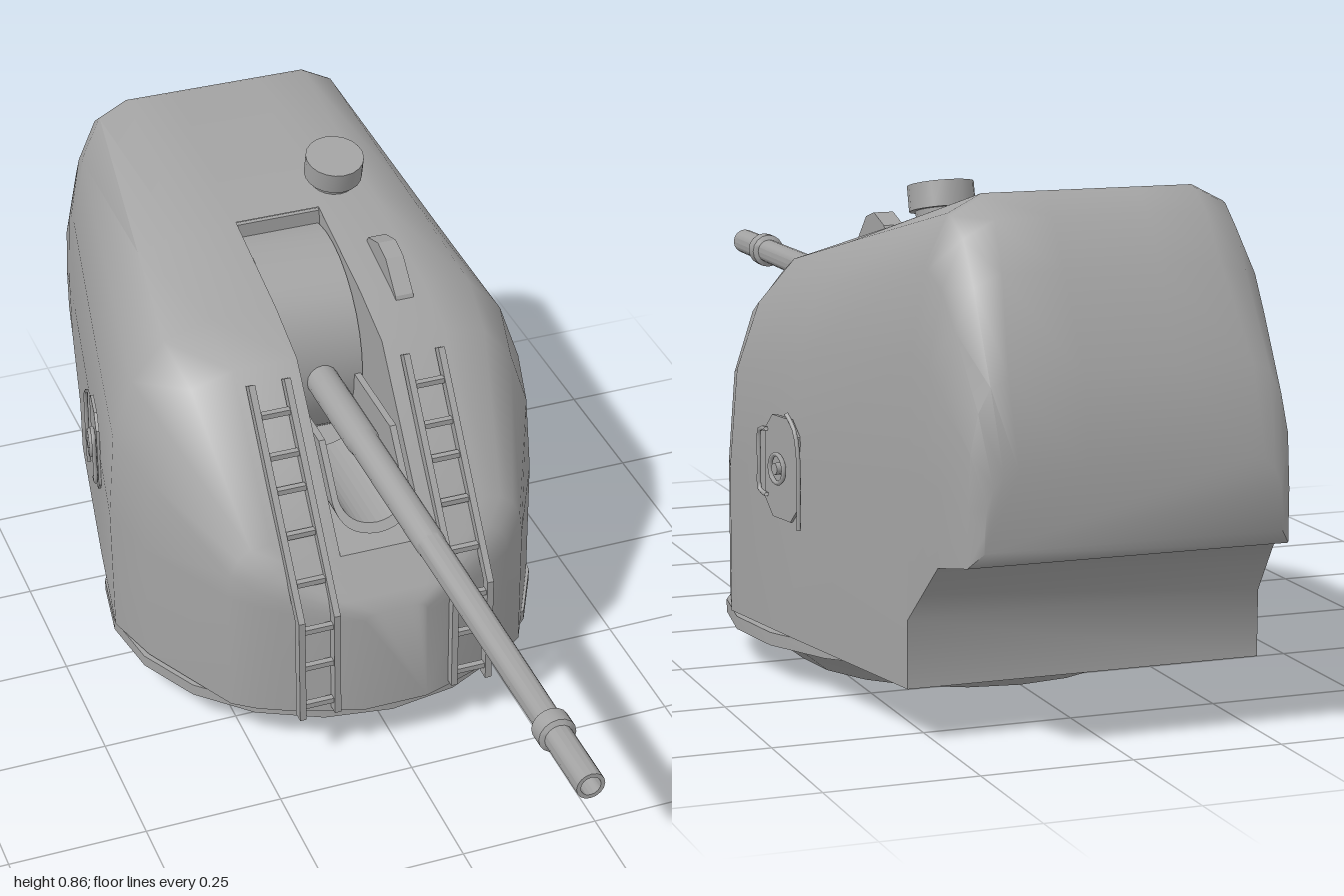
import * as THREE from 'three';
import { toCreasedNormals } from 'three/addons/utils/BufferGeometryUtils.js';

const grey = new THREE.MeshStandardMaterial({ color: 0xa2a2a2, side: THREE.DoubleSide });
grey.name = 'navalGrey';

function add(parent, name, geometry, x = 0, y = 0, z = 0) {
  const mesh = new THREE.Mesh(geometry, grey);
  mesh.name = name;
  mesh.position.set(x, y, z);
  parent.add(mesh);
  return mesh;
}

// Plate whose outline is given as [z, y] points, extruded along x and centred on x = 0
function sidePlate(points, width) {
  const shape = new THREE.Shape(points.map(([z, y]) => new THREE.Vector2(-z, y)));
  const geo = new THREE.ExtrudeGeometry(shape, { depth: width, bevelEnabled: false });
  return geo.translate(0, 0, -width / 2).rotateY(Math.PI / 2);
}

const SLOT = 0.08;

// Armoured shell, front to back: [z, base height, half width, waist height, roof half width, roof height]
const sections = [
  [0.17, 0.09, 0.06, 0.28, 0.04, 0.3],
  [0.15, 0.09, 0.12, 0.29, 0.09, 0.325],
  [0.12, 0.09, 0.2, 0.31, 0.14, 0.363],
  [0.1, 0.09, 0.24, 0.32, 0.17, 0.388],
  [0.07, 0.09, 0.28, 0.33, 0.2, 0.427],
  [-0.12, 0.09, 0.375, 0.33, 0.2, 0.67],
  [-0.23, 0.09, 0.406, 0.34, 0.2, 0.71],
  [-0.45, 0.09, 0.367, 0.39, 0.19, 0.765],
  [-0.8, 0.09, 0.3, 0.42, 0.175, 0.855],
  [-0.81, 0.09, 0.298, 0.42, 0.175, 0.852],
  [-0.81, 0.2, 0.298, 0.42, 0.175, 0.852],
  [-0.855, 0.25, 0.29, 0.42, 0.175, 0.82],
  [-0.9, 0.3, 0.282, 0.42, 0.18, 0.745],
  [-0.98, 0.315, 0.265, 0.4, 0.2, 0.6],
  [-1.0, 0.34, 0.245, 0.37, 0.19, 0.46],
];

// Straight side, rounded shoulder, then flat roof in to the slot edge, mirrored
function ring([z, base, width, waist, roof, top]) {
  const right = [[width, base, z]];
  for (let i = 0; i <= 4; i++) {
    const t = (i * Math.PI) / 8;
    const c = i === 4 ? 0 : Math.cos(t) ** 0.85;
    right.push([roof + (width - roof) * c, waist + (top - waist) * Math.sin(t) ** 0.85, z]);
  }
  right.push([Math.min(SLOT, roof * 0.7), top, z]);
  return [...right, ...right.map(([x, y]) => [-x, y, z]).reverse()];
}

function shellGeometry() {
  const rings = sections.map(ring);
  const pos = [];
  const tri = (a, b, c) => pos.push(...a, ...b, ...c);
  const n = rings[0].length;
  for (let i = 0; i < rings.length - 1; i++) {
    const slotted = sections[i][0] <= 0.1 && sections[i + 1][0] >= -0.45;
    for (let j = 0; j < n; j++) {
      if (slotted && j === n / 2 - 1) continue; // opening for the gun
      const k = (j + 1) % n;
      const [a, b, c, d] = [rings[i][j], rings[i][k], rings[i + 1][k], rings[i + 1][j]];
      tri(a, d, c);
      tri(a, c, b);
    }
  }
  const front = rings[0], back = rings[rings.length - 1];
  for (let j = 1; j < n - 1; j++) {
    tri(front[0], front[j], front[j + 1]);
    tri(back[0], back[j + 1], back[j]);
  }
  const geo = new THREE.BufferGeometry();
  geo.setAttribute('position', new THREE.Float32BufferAttribute(pos, 3));
  return toCreasedNormals(geo, 0.85);
}

// Gun slot lining, elevating drum and cradle
function addGunMount(root) {
  const mount = new THREE.Group();
  mount.name = 'gunMount';
  root.add(mount);
  const wall = [[0.1, 0.388], [0.07, 0.427], [-0.12, 0.67], [-0.23, 0.71], [-0.45, 0.765], [-0.45, 0.38], [0.1, 0.38]];
  for (const s of [-1, 1]) add(mount, 'slotWall', sidePlate(wall, 0.004), s * (SLOT + 0.002));
  add(mount, 'slotFloor', new THREE.BoxGeometry(0.16, 0.01, 0.55), 0, 0.383, -0.175);
  add(mount, 'slotBack', new THREE.BoxGeometry(0.16, 0.38, 0.01), 0, 0.57, -0.452);
  // Drum sits low enough to stay inside the slot at the rear
  const drum = new THREE.CylinderGeometry(0.19, 0.19, 0.154, 32).rotateZ(Math.PI / 2);
  add(mount, 'elevatingDrum', toCreasedNormals(drum, 0.6), 0, 0.55, -0.4);

  // U-shaped cradle, sheared to lie along the sloping front
  const u = new THREE.Shape();
  u.moveTo(-0.073, 0.55).lineTo(-0.073, 0.46);
  u.quadraticCurveTo(-0.068, 0.41, 0, 0.408).quadraticCurveTo(0.068, 0.41, 0.073, 0.46);
  u.lineTo(0.073, 0.55).lineTo(0.061, 0.55).lineTo(0.061, 0.465);
  u.quadraticCurveTo(0.055, 0.425, 0, 0.423).quadraticCurveTo(-0.055, 0.425, -0.061, 0.465);
  u.lineTo(-0.061, 0.55);
  const cradle = new THREE.ExtrudeGeometry(u, { depth: 0.26, bevelEnabled: false, curveSegments: 8 });
  const p = cradle.attributes.position;
  for (let i = 0; i < p.count; i++) p.setZ(i, p.getZ(i) - 0.18 - (p.getY(i) - 0.41) * 0.78);
  cradle.computeVertexNormals();
  add(mount, 'cradle', cradle);
}

// Hollow barrel with a muzzle collar
function addBarrel(root) {
  const profile = [[0.03, -0.25], [0.03, 0], [0.0275, 0.01], [0.0265, 0.33], [0.025, 0.335], [0.023, 0.835],
    [0.032, 0.84], [0.032, 0.87], [0.024, 0.875], [0.024, 1], [0.017, 1], [0.017, 0.85], [0, 0.85]];
  const geo = new THREE.LatheGeometry(profile.map(([r, z]) => new THREE.Vector2(r, z)), 16);
  add(root, 'gunBarrel', toCreasedNormals(geo.rotateX(Math.PI / 2), 0.6), 0, 0.55, 0);
}

// Ladder following the vertical and sloping front
function addLadder(root, side) {
  const ladder = new THREE.Group();
  ladder.name = 'ladder';
  ladder.position.x = side * 0.145;
  root.add(ladder);
  const rail = [[0.15, 0.1], [0.172, 0.1], [0.172, 0.315], [-0.08, 0.66], [-0.096, 0.65], [0.152, 0.308]];
  for (const s of [-1, 1]) add(ladder, 'ladderRail', sidePlate(rail, 0.012), s * 0.033);
  for (const y of [0.125, 0.21, 0.29, 0.365, 0.435, 0.5, 0.55, 0.61]) {
    const z = y < 0.31 ? 0.161 : 0.161 - (y - 0.31) * 0.715;
    add(ladder, 'ladderRung', new THREE.BoxGeometry(0.06, 0.01, 0.012), 0, y, z);
  }
}

// Side access hatch with handwheel and grab rails
function addHatch(root, side) {
  const hatch = new THREE.Group();
  hatch.name = 'sideHatch';
  hatch.position.set(side * 0.371, 0.37, -0.42);
  hatch.rotation.y = side * (Math.PI / 2 + 0.18);
  root.add(hatch);
  const w = 0.055, h = 0.085, c = 0.025;
  const outline = [[-w, -h + c], [-w + c, -h], [w - c, -h], [w, -h + c], [w, h - c], [w - c, h], [-w + c, h], [-w, h - c]];
  const shape = new THREE.Shape(outline.map(([x, y]) => new THREE.Vector2(x, y)));
  add(hatch, 'hatchDoor', new THREE.ExtrudeGeometry(shape, { depth: 0.006, bevelEnabled: false }));
  add(hatch, 'handwheel', new THREE.TorusGeometry(0.024, 0.004, 6, 16), 0, 0, 0.014);
  add(hatch, 'wheelHub', new THREE.CylinderGeometry(0.01, 0.01, 0.018, 10).rotateX(Math.PI / 2), 0, 0, 0.01);
  const tube = (pts) => new THREE.TubeGeometry(
    new THREE.CatmullRomCurve3(pts.map(([x, y]) => new THREE.Vector3(side * x, y, 0.012))), 12, 0.004, 6);
  add(hatch, 'rearGrabRail', tube([[0.03, 0.095], [0.055, 0.075], [0.068, 0.04], [0.07, -0.09]]));
  add(hatch, 'frontGrabRail', tube([[-0.04, 0.06], [-0.064, 0.055], [-0.066, 0], [-0.064, -0.045], [-0.04, -0.05]]));
}

export function createModel() {
  const root = new THREE.Group();
  root.name = 'gunTurret';

  add(root, 'turretShell', shellGeometry());

  // Turntable below the shell
  const base = [[0, 0], [0.285, 0], [0.35, 0.05], [0.403, 0.062], [0.403, 0.084], [0, 0.084]];
  const baseGeo = new THREE.LatheGeometry(base.map(([r, y]) => new THREE.Vector2(r, y)), 20);
  add(root, 'turntable', toCreasedNormals(baseGeo, 0.5), 0, 0, -0.25);

  addGunMount(root);
  addBarrel(root);
  for (const side of [-1, 1]) {
    addLadder(root, side);
    addHatch(root, side);
  }

  // Roof fittings
  const cap = new THREE.CylinderGeometry(0.054, 0.054, 0.042, 20);
  add(root, 'roofHatch', toCreasedNormals(cap, 0.6), 0.13, 0.815, -0.505).rotation.x = 0.25;
  const neck = new THREE.CylinderGeometry(0.045, 0.04, 0.05, 20);
  add(root, 'roofHatchNeck', toCreasedNormals(neck, 0.6), 0.13, 0.775, -0.515).rotation.x = 0.25;
  const fin = [[-0.19, 0.68], [-0.2, 0.705], [-0.25, 0.755], [-0.29, 0.766], [-0.34, 0.75], [-0.36, 0.72]];
  add(root, 'roofFin', sidePlate(fin, 0.034), 0.153);

  return root;
}
